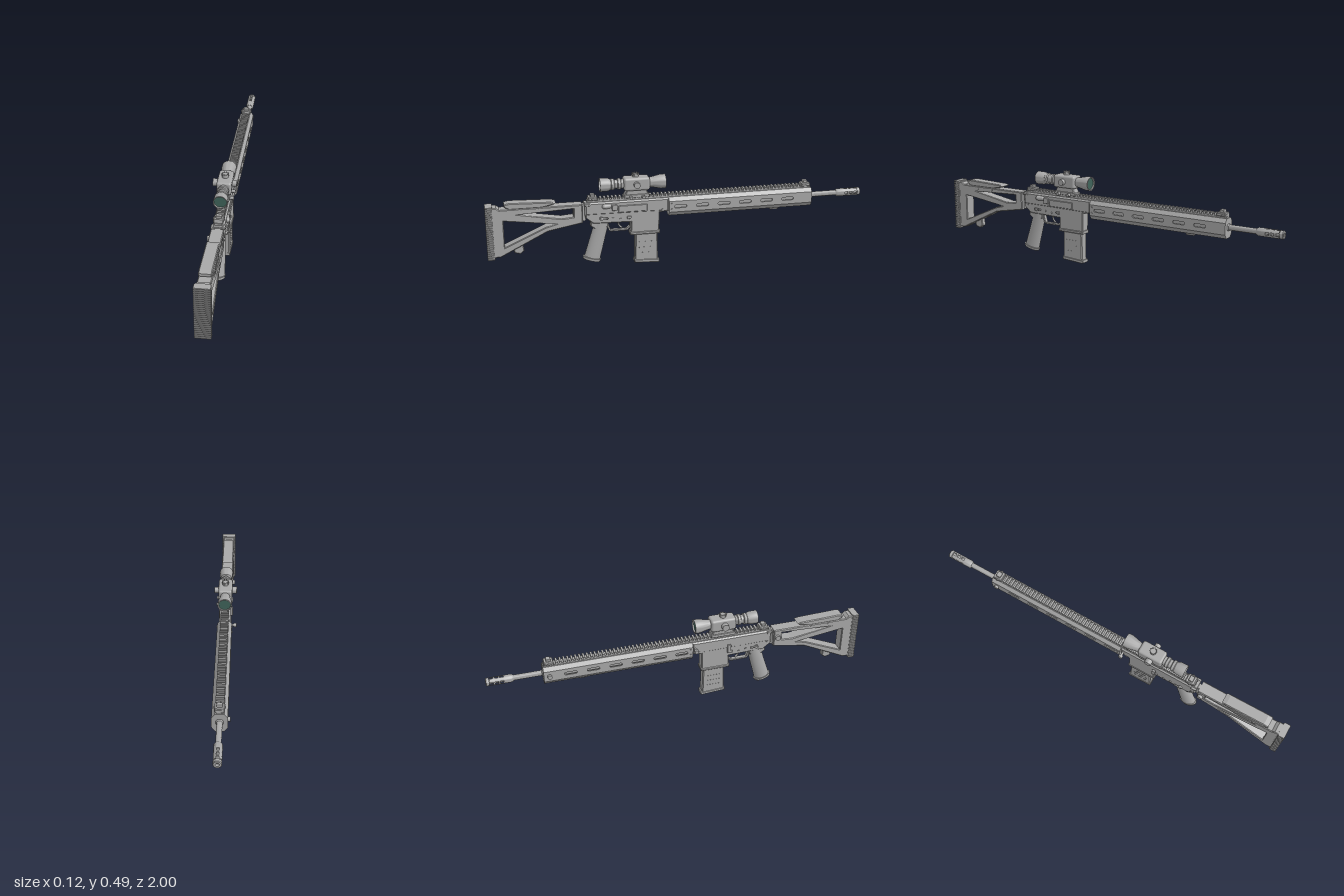
import * as THREE from 'three';
import { mergeGeometries, toCreasedNormals } from 'three/addons/utils/BufferGeometryUtils.js';
import { RoundedBoxGeometry } from 'three/addons/geometries/RoundedBoxGeometry.js';

export function createModel() {
  const metal = new THREE.MeshStandardMaterial({ color: 0xa8a8a8 });
  metal.name = 'greyMetal';
  const sheet = new THREE.MeshStandardMaterial({ color: 0xa8a8a8, side: THREE.DoubleSide });
  sheet.name = 'greySheet';
  const glass = new THREE.MeshStandardMaterial({ color: 0x40645a });
  glass.name = 'greenGlass';

  const model = new THREE.Group();
  model.name = 'rifle';
  const body = new THREE.Group();
  body.name = 'body';
  body.position.x = 0.003;
  model.add(body);

  const add = (name, geo, x = 0, y = 0, z = 0, mat = metal) => {
    const m = new THREE.Mesh(geo, mat);
    m.name = name;
    m.position.set(x, y, z);
    body.add(m);
    return m;
  };
  const box = (name, w, h, d, x, y, z) => add(name, new THREE.BoxGeometry(w, h, d), x, y, z);
  const soft = (name, w, h, d, x, y, z, r = 0.004) =>
    add(name, new RoundedBoxGeometry(w, h, d, 2, r), x, y, z);
  // cylinder lying along x
  const knob = (name, r, len, x, y, z, sides = 20) =>
    add(name, new THREE.CylinderGeometry(r, r, len, sides).rotateZ(Math.PI / 2), x, y, z);
  // lathe around the z axis from [radius, z] points
  const turned = (name, pts, y) => add(name, toCreasedNormals(new THREE.LatheGeometry(
    pts.map(p => new THREE.Vector2(...p)), 32).rotateX(Math.PI / 2), 0.6), 0, y, 0);
  // side outline of [z, y] points, extruded across x with a chamfer
  const side = (name, pts, width, holes = [], b = 0.004, x = 0) => {
    const flip = list => list.map(([z, y]) => new THREE.Vector2(-z, y));
    const s = new THREE.Shape(flip(pts));
    holes.forEach(h => s.holes.push(new THREE.Path(flip(h))));
    const geo = new THREE.ExtrudeGeometry(s, {
      depth: width - 2 * b, bevelEnabled: b > 0, bevelSize: b, bevelThickness: b,
      bevelOffset: -b, bevelSegments: 1, curveSegments: 8,
    });
    return add(name, geo.translate(0, 0, b - width / 2).rotateY(Math.PI / 2), x, 0, 0);
  };

  // --- stock ---
  side('stockFrame',
    [[0.967, 0.36], [0.967, 0.098], [0.935, 0.098], [0.695, 0.217], [0.515, 0.25], [0.515, 0.348], [0.93, 0.348], [0.945, 0.36]],
    0.064, [
      [[0.912, 0.288], [0.912, 0.148], [0.7, 0.242], [0.645, 0.254]],
      [[0.85, 0.318], [0.56, 0.328], [0.56, 0.285], [0.62, 0.28]],
    ]);
  side('cheekRest', [[0.88, 0.346], [0.905, 0.36], [0.905, 0.374], [0.88, 0.379], [0.67, 0.372], [0.648, 0.366], [0.66, 0.358], [0.72, 0.346]], 0.062);
  for (const z of [0.73, 0.83]) knob('cheekRestScrew', 0.009, 0.07, 0, 0.338, z);
  side('slingLoop', [[0.87, 0.138], [0.865, 0.11], [0.835, 0.102], [0.815, 0.118], [0.82, 0.16]], 0.03);
  box('buttPlate', 0.068, 0.276, 0.024, 0, 0.228, 0.975);
  const ridges = [];
  for (let i = 0; i < 26; i++) {
    ridges.push(new RoundedBoxGeometry(0.078, 0.0078, 0.034, 1, 0.0025).translate(0, 0.091 + i * 0.01085, 0.983));
  }
  add('buttPadRidges', mergeGeometries(ridges));
  add('stockHinge', new THREE.CylinderGeometry(0.014, 0.014, 0.09, 16), 0, 0.3, 0.51);
  knob('hingeButton', 0.014, 0.02, -0.036, 0.305, 0.535);

  // --- receiver ---
  side('upperReceiver', [[0.503, 0.352], [0.503, 0.285], [0.065, 0.28], [0.065, 0.352]], 0.058, [], 0.008);
  side('lowerReceiver',
    [[0.5, 0.3], [0.5, 0.272], [0.46, 0.24], [0.265, 0.235], [0.268, 0.168], [0.118, 0.168], [0.115, 0.276], [0.068, 0.282], [0.068, 0.3]],
    0.054);
  side('magazineWellLip', [[0.272, 0.18], [0.27, 0.163], [0.115, 0.163], [0.113, 0.18]], 0.06);
  side('ejectionPort', [[0.33, 0.328], [0.33, 0.292], [0.18, 0.292], [0.18, 0.328]], 0.006, [], 0.002, 0.03);
  soft('caseDeflector', 0.014, 0.03, 0.03, 0.032, 0.32, 0.35);
  const assist = add('forwardAssist', new THREE.CapsuleGeometry(0.013, 0.026, 4, 12).rotateX(Math.PI / 2), 0.03, 0.33, 0.39);
  assist.rotation.y = 0.25;
  soft('chargingHandle', 0.07, 0.012, 0.03, 0, 0.343, 0.49);
  knob('boltCatchStem', 0.006, 0.03, -0.038, 0.316, 0.08);
  knob('boltCatchKnob', 0.011, 0.016, -0.054, 0.316, 0.08);
  soft('boltCatch', 0.012, 0.05, 0.02, -0.034, 0.285, 0.265);
  for (const s of [-1, 1]) {
    knob('selectorPivot', 0.01, 0.01, s * 0.03, 0.265, 0.42);
    soft('selectorLever', 0.008, 0.01, 0.04, s * 0.034, 0.267, 0.405, 0.003);
    for (const [z, y] of [[0.48, 0.285], [0.1, 0.29], [0.32, 0.255], [0.36, 0.262]]) knob('receiverPin', 0.006, 0.006, s * 0.028, y, z, 12);
    soft('magazineRelease', 0.01, 0.014, 0.022, s * 0.03, 0.262, 0.275, 0.003);
  }

  // --- trigger group and grip ---
  side('triggerGuard', [[0.395, 0.245], [0.38, 0.192], [0.37, 0.186], [0.285, 0.186], [0.262, 0.205], [0.262, 0.245]], 0.022,
    [[[0.384, 0.24], [0.37, 0.195], [0.289, 0.195], [0.271, 0.209], [0.271, 0.24]]], 0.001);
  const triggerCurve = new THREE.QuadraticBezierCurve3(
    new THREE.Vector3(0, 0.24, 0.325), new THREE.Vector3(0, 0.215, 0.335), new THREE.Vector3(0, 0.2, 0.31));
  add('trigger', new THREE.TubeGeometry(triggerCurve, 10, 0.005, 8));
  const grip = add('pistolGrip', new THREE.CylinderGeometry(0.86, 1, 0.2, 28).scale(0.029, 1, 0.042), 0, 0.147, 0.441);
  const gripBase = add('gripBase', new THREE.CylinderGeometry(1, 0.93, 0.014, 28).scale(0.031, 1, 0.049), 0, 0.043, 0.472);
  grip.rotation.x = gripBase.rotation.x = -0.28;
  side('gripTang', [[0.47, 0.255], [0.475, 0.225], [0.44, 0.2], [0.385, 0.215], [0.38, 0.255]], 0.04);

  // --- magazine ---
  side('magazine', [[0.242, 0.23], [0.247, 0.018], [0.124, 0.008], [0.128, 0.23]], 0.046, [], 0.005);
  side('magazineBase', [[0.25, 0.026], [0.25, 0.008], [0.122, 0], [0.116, 0.004], [0.118, 0.018]], 0.05, [], 0.003);
  for (let i = 0; i < 3; i++) box('magazineRib', 0.048, 0.004, 0.075, 0, 0.06 + i * 0.03, 0.187);

  // --- handguard: eight plates around the barrel, slotted on sides and bottom ---
  const ring = [[0.038, 0.276], [0.038, 0.334], [0.022, 0.354], [-0.022, 0.354],
    [-0.038, 0.334], [-0.038, 0.276], [-0.021, 0.254], [0.021, 0.254]];
  const guardBack = 0.066, guardLength = 0.78, wall = 0.007;
  ring.forEach((a, i) => {
    const b = ring[(i + 1) % 8];
    const h = Math.hypot(b[0] - a[0], b[1] - a[1]);
    const along = new THREE.Vector3((b[0] - a[0]) / h, (b[1] - a[1]) / h, 0);
    const out = new THREE.Vector3(along.y, -along.x, 0);
    const plate = new THREE.Shape([[0, 0], [guardLength, 0], [guardLength, h], [0, h]].map(p => new THREE.Vector2(...p)));
    if ([0, 4, 6].includes(i)) {
      for (let k = 0; k < 6; k++) {
        const u = 0.028 + k * 0.1165, v = h / 2, r = 0.008;
        const slot = new THREE.Path();
        slot.absarc(u + r, v, r, Math.PI / 2, Math.PI * 1.5, false);
        slot.absarc(u + 0.058, v, r, -Math.PI / 2, Math.PI / 2, false);
        plate.holes.push(slot);
      }
    }
    const geo = new THREE.ExtrudeGeometry(plate, { depth: wall, bevelEnabled: false, curveSegments: 6 });
    geo.applyMatrix4(new THREE.Matrix4().makeBasis(new THREE.Vector3(0, 0, -1), along, out));
    add('handguardPlate', geo, a[0] - out.x * wall, a[1] - out.y * wall, guardBack);
  });
  const capShape = new THREE.Shape(ring.map(p => new THREE.Vector2(...p)));
  for (const z of [guardBack - 0.008, guardBack - guardLength]) {
    add('handguardEnd', new THREE.ExtrudeGeometry(capShape, { depth: 0.008, bevelEnabled: false }), 0, 0, z);
  }
  turned('innerTube', [[0, -0.7], [0.025, -0.7], [0.025, 0.06], [0, 0.06]], 0.305);
  soft('handguardStop', 0.026, 0.016, 0.045, 0, 0.25, -0.512);
  knob('slingSocket', 0.012, 0.014, -0.042, 0.305, -0.685);
  for (const s of [-1, 1]) for (const y of [0.29, 0.32]) knob('handguardScrew', 0.005, 0.005, s * 0.039, y, 0.052, 10);

  // --- top rail ---
  box('railBase', 0.034, 0.012, 1.2, 0, 0.356, -0.11);
  const teeth = [];
  for (let z = 0.478; z > -0.71; z -= 0.02) {
    teeth.push(new THREE.BoxGeometry(0.042, 0.012, 0.0105).translate(0, 0.367, z));
  }
  add('railTeeth', mergeGeometries(teeth));

  // --- folding sights ---
  for (const z of [0.46, -0.682]) {
    side('sightBase', [[z + 0.026, 0.362], [z + 0.022, 0.38], [z - 0.022, 0.38], [z - 0.026, 0.362]], 0.05);
    soft('sightLeaf', 0.03, 0.016, 0.024, 0, 0.385, z);
    knob('sightScrew', 0.006, 0.058, 0, 0.371, z, 12);
  }

  // --- barrel and muzzle brake ---
  const bore = 0.308;
  turned('barrel', [[0, -0.87], [0.014, -0.87], [0.014, -0.72], [0.019, -0.715], [0.019, -0.7], [0, -0.7]], bore);
  turned('brakeCollar', [[0.008, -0.91], [0.021, -0.91], [0.021, -0.872], [0.016, -0.862], [0, -0.862]], bore);
  turned('brakeTip', [[0, -0.985], [0.009, -0.985], [0.009, -1], [0.018, -1], [0.021, -0.997], [0.021, -0.982], [0, -0.982]], bore);
  turned('brakeCore', [[0, -0.985], [0.012, -0.985], [0.012, -0.9], [0, -0.9]], bore);
  for (let i = 0; i < 3; i++) {
    const z = -0.919 - i * 0.026;
    for (let q = 0; q < 4; q++) {
      const arc = new THREE.CylinderGeometry(0.021, 0.021, 0.018, 8, 1, true, q * Math.PI / 2 + 0.3, Math.PI / 2 - 0.6);
      add('brakePortWall', arc.rotateX(Math.PI / 2), 0, bore, z, sheet);
    }
    if (i < 2) turned('brakeBand', [[0.01, z - 0.017], [0.021, z - 0.017], [0.021, z - 0.009], [0.01, z - 0.009]], bore);
  }

  // --- scope ---
  const sy = 0.436;
  turned('scopeTube', [[0, 0.09], [0.031, 0.09], [0.031, 0.08], [0.037, 0.08], [0.037, 0.105], [0.028, 0.145], [0.025, 0.165],
    [0.025, 0.312], [0.029, 0.315], [0.029, 0.328], [0.024, 0.331], [0.024, 0.345], [0.03, 0.349], [0.03, 0.362],
    [0.027, 0.365], [0.034, 0.38], [0.035, 0.421], [0.031, 0.421], [0.031, 0.41], [0, 0.41]], sy);
  for (const s of [-1, 1]) {
    const lens = add('scopeLens', new THREE.CircleGeometry(0.0305, 32), 0, sy, s > 0 ? 0.412 : 0.088, glass);
    if (s < 0) lens.rotation.y = Math.PI;
  }
  soft('scopeHousing', 0.073, 0.068, 0.135, 0, sy, 0.232, 0.012);
  knob('windageKnob', 0.019, 0.026, -0.047, sy, 0.235);
  knob('illuminationKnob', 0.016, 0.024, 0.046, sy, 0.235);
  add('elevationKnob', new THREE.CylinderGeometry(0.016, 0.016, 0.026, 20), 0, 0.474, 0.235);
  const grips = [];
  for (let i = 0; i < 10; i++) {
    grips.push(new THREE.BoxGeometry(0.005, 0.013, 0.004).translate(0.0155, 0, 0).rotateY(i * Math.PI / 5));
  }
  add('elevationKnobGrips', mergeGeometries(grips), 0, 0.484, 0.235);
  side('scopeMount', [[0.3, 0.37], [0.29, 0.388], [0.28, 0.41], [0.185, 0.41], [0.175, 0.388], [0.165, 0.37]], 0.046);
  soft('mountClamp', 0.054, 0.018, 0.13, 0, 0.372, 0.232);
  for (const z of [0.2, 0.265]) knob('mountClampNut', 0.009, 0.022, 0.036, 0.369, z, 6);

  return model;
}
